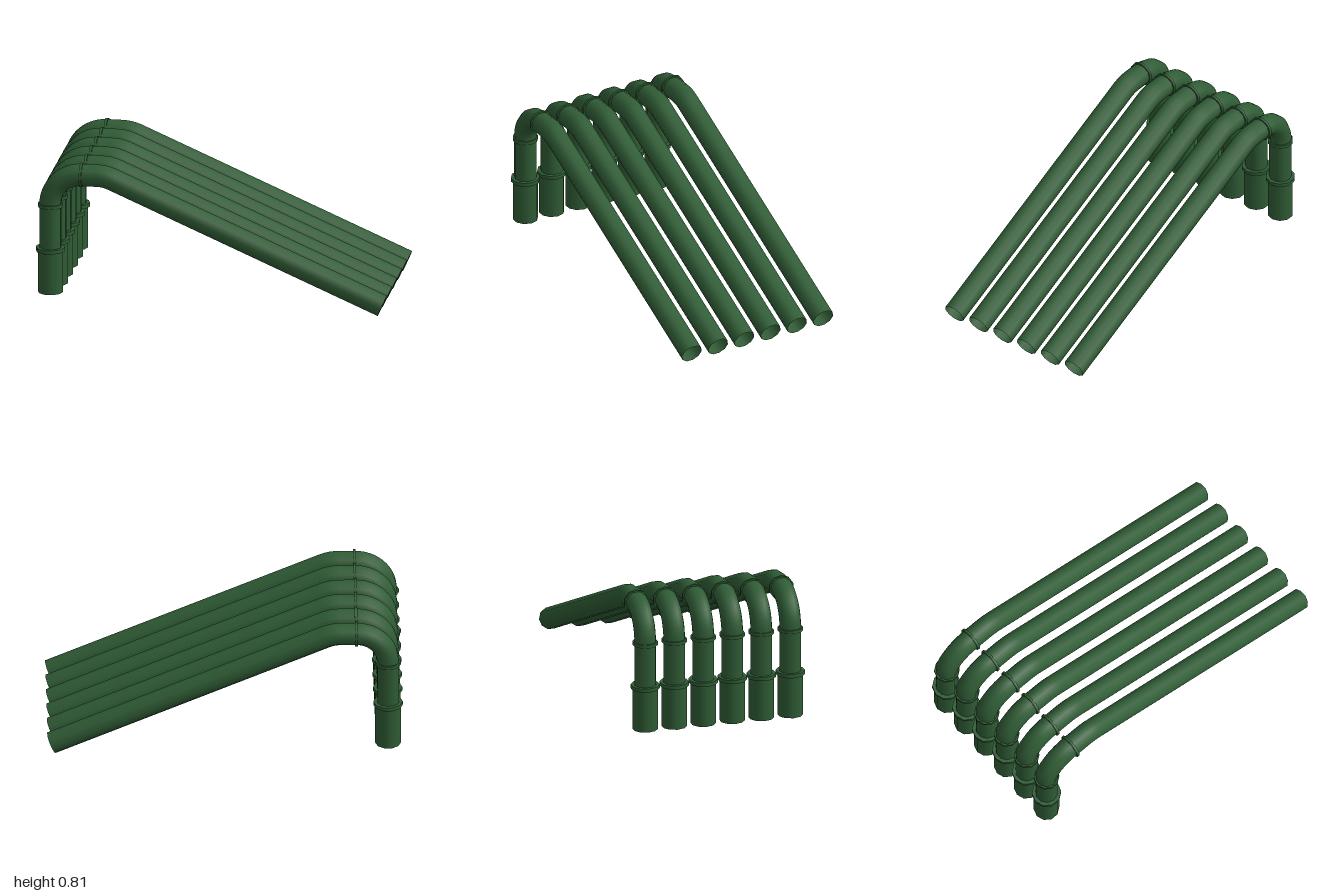
import * as THREE from 'three';
import { toCreasedNormals } from 'three/addons/utils/BufferGeometryUtils.js';

const SIDES = 10;
const COUNT = 6, SPACING = 0.17;
const X = -0.916, Y = 0.74, R = 0.063; // riser axis, crest height, pipe radius

const material = new THREE.MeshStandardMaterial({ color: 0x2f5c35, side: THREE.DoubleSide });

const v = (x, y) => new THREE.Vector3(x, y, 0);

// Centre line: riser, elbow, crest, gentle bend, long slope
function pipePath() {
  const bendY = 0.565, bendX = -0.74, k = 0.5523;
  const corner = v(-0.604, Y), end = v(0.975, 0.058), t = 0.045;
  const slopeStart = corner.clone().add(end.clone().sub(corner).setLength(t));
  const crestEnd = v(corner.x - t, Y);
  const path = new THREE.CurvePath();
  path.add(new THREE.LineCurve3(v(X, 0.295), v(X, bendY)));
  path.add(new THREE.CubicBezierCurve3(
    v(X, bendY), v(X, bendY + k * (Y - bendY)),
    v(bendX - k * (bendX - X), Y), v(bendX, Y)));
  path.add(new THREE.LineCurve3(v(bendX, Y), crestEnd));
  path.add(new THREE.QuadraticBezierCurve3(crestEnd, corner, slopeStart));
  path.add(new THREE.LineCurve3(slopeStart, end));
  return path;
}

// Flat-faced ring around the pipe, axis along y
function ringGeometry(inner, outer, height) {
  const h = height / 2;
  const profile = [[inner, -h], [outer, -h], [outer, h], [inner, h], [inner, -h]]
    .map(([x, y]) => new THREE.Vector2(x, y));
  return toCreasedNormals(new THREE.LatheGeometry(profile, SIDES).rotateY(Math.PI / 2), 0.8);
}

function part(name, geometry, x = 0, y = 0) {
  const mesh = new THREE.Mesh(geometry, material);
  mesh.name = name;
  mesh.position.set(x, y, 0);
  return mesh;
}

export function createModel() {
  const model = new THREE.Group();
  model.name = 'pipeRow';

  const tube = new THREE.TubeGeometry(pipePath(), 110, R, SIDES, false);
  const sleeve = new THREE.CylinderGeometry(0.072, 0.072, 0.25, SIDES, 1, true).rotateY(Math.PI / 2);
  const wideRing = ringGeometry(R - 0.002, 0.083, 0.022);
  const elbowRing = ringGeometry(R - 0.002, 0.072, 0.02);
  const crestRing = ringGeometry(R - 0.002, 0.072, 0.015).rotateZ(-Math.PI / 2);

  for (let i = 0; i < COUNT; i++) {
    const pipe = new THREE.Group();
    pipe.name = `pipe${i + 1}`;
    pipe.position.z = (i - (COUNT - 1) / 2) * SPACING;
    pipe.add(
      part('bentPipe', tube),
      part('baseSleeve', sleeve, X, 0.17),
      part('sleeveCollar', wideRing, X, 0.298),
      part('elbowCollar', elbowRing, X, 0.556),
      part('crestCollar', crestRing, -0.738, Y)
    );
    model.add(pipe);
  }
  return model;
}
